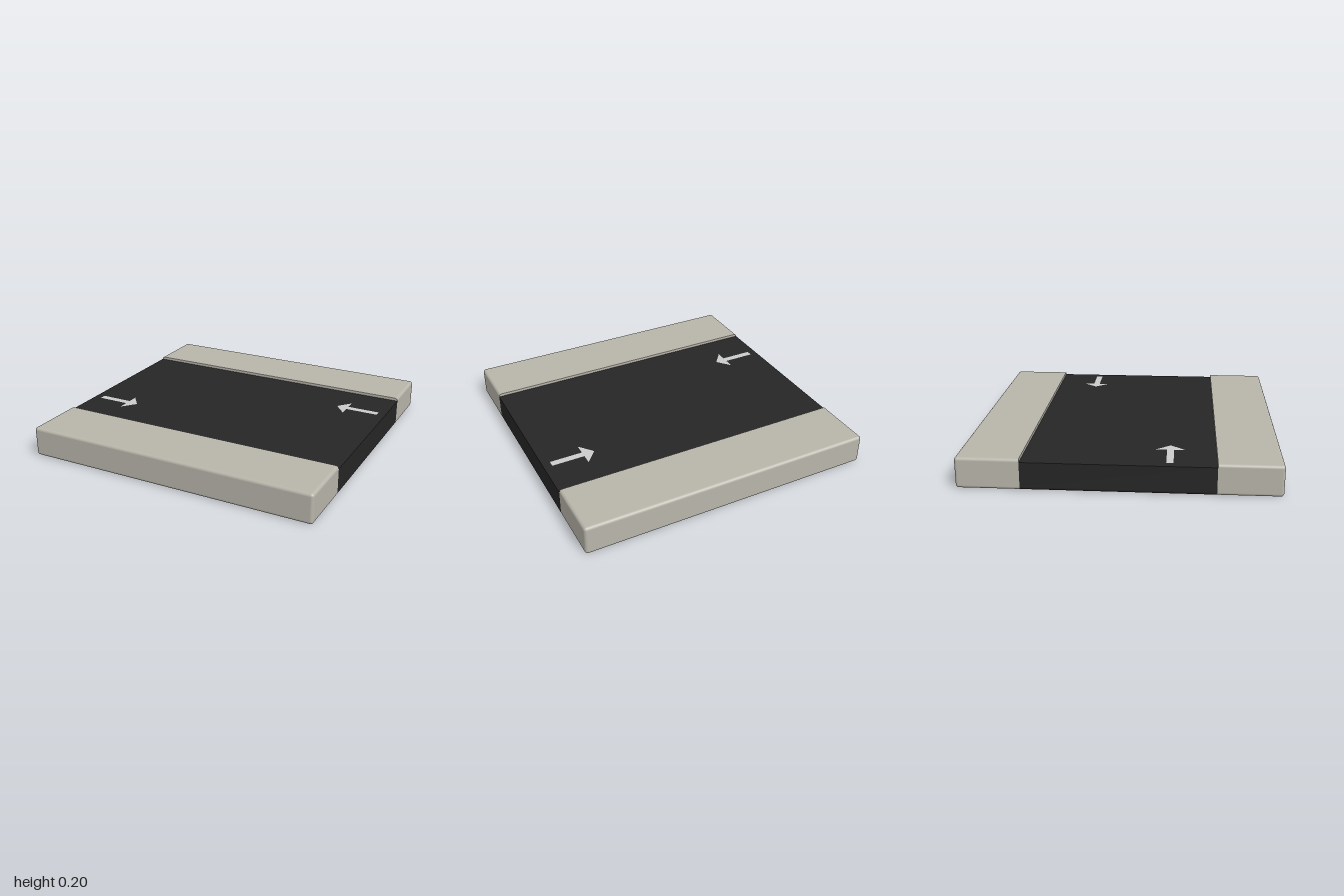
import * as THREE from 'three';
import { RoundedBoxGeometry } from 'three/addons/geometries/RoundedBoxGeometry.js';

const BEVEL = 0.02;
const KERB = 0.6; // z where road meets pavement
const ROAD_TOP = 0.18;

// Rounded block resting on y = 0, with the rounding of chosen sides flattened to a sharp cut.
// Each cut is { axis, at, sign }: everything past "at" along sign is pressed onto that plane.
function cutBlock(depth, centreZ, cuts) {
  const geo = new RoundedBoxGeometry(2, 0.2, depth, 4, BEVEL);
  geo.translate(0, 0.1, centreZ);
  const pos = geo.attributes.position;
  const nor = geo.attributes.normal;
  const n = new THREE.Vector3();

  for (const { axis, at, sign } of cuts) {
    for (let i = 0; i < pos.count; i += 3) {
      const onCut = [0, 1, 2].map((k) => (pos.getComponent(i + k, axis) - at) * sign > -1e-4);
      const wholeFace = onCut.every(Boolean);
      for (let k = 0; k < 3; k++) {
        if (!onCut[k]) continue;
        pos.setComponent(i + k, axis, at);
        n.fromBufferAttribute(nor, i + k);
        if (wholeFace) n.set(0, 0, 0).setComponent(axis, sign);
        else n.setComponent(axis, 0).normalize();
        nor.setXYZ(i + k, n.x, n.y, n.z);
      }
    }
  }
  return geo;
}

// Flat arrow pointing along +x, centred on its length
function arrowGeometry() {
  const shape = new THREE.Shape([
    [-0.15, -0.022], [0.072, -0.022], [0.072, -0.094], [0.15, 0],
    [0.072, 0.094], [0.072, 0.022], [-0.15, 0.022],
  ].map(([x, y]) => new THREE.Vector2(x, y)));
  return new THREE.ShapeGeometry(shape).rotateX(-Math.PI / 2);
}

export function createModel() {
  const model = new THREE.Group();
  model.name = 'roadTile';

  const asphalt = new THREE.MeshStandardMaterial({ color: 0x262626 });
  const stone = new THREE.MeshStandardMaterial({ color: 0xb8b5aa });
  const paint = new THREE.MeshStandardMaterial({ color: 0xcccccc, side: THREE.DoubleSide });

  const add = (name, geometry, material) => {
    const mesh = new THREE.Mesh(geometry, material);
    mesh.name = name;
    model.add(mesh);
    return mesh;
  };

  // Road bed: sharp on top and where it meets the pavements
  add('road', cutBlock(2 * (KERB + BEVEL), 0, [
    { axis: 2, at: KERB, sign: 1 },
    { axis: 2, at: -KERB, sign: -1 },
    { axis: 1, at: ROAD_TOP, sign: 1 },
  ]), asphalt);

  // Front and back pavements, with a direction arrow on each lane
  const arrow = arrowGeometry();
  for (const side of [1, -1]) {
    const label = side > 0 ? 'front' : 'back';
    const depth = 1 - KERB + BEVEL;
    add(label + 'Pavement', cutBlock(depth, side * (1 - depth / 2), [
      { axis: 2, at: side * KERB, sign: -side },
    ]), stone);

    const mark = add(label + 'LaneArrow', arrow, paint);
    mark.position.set(-0.795 * side, ROAD_TOP + 0.002, 0.312 * side);
    mark.rotation.y = side > 0 ? 0 : Math.PI;
  }
  return model;
}
